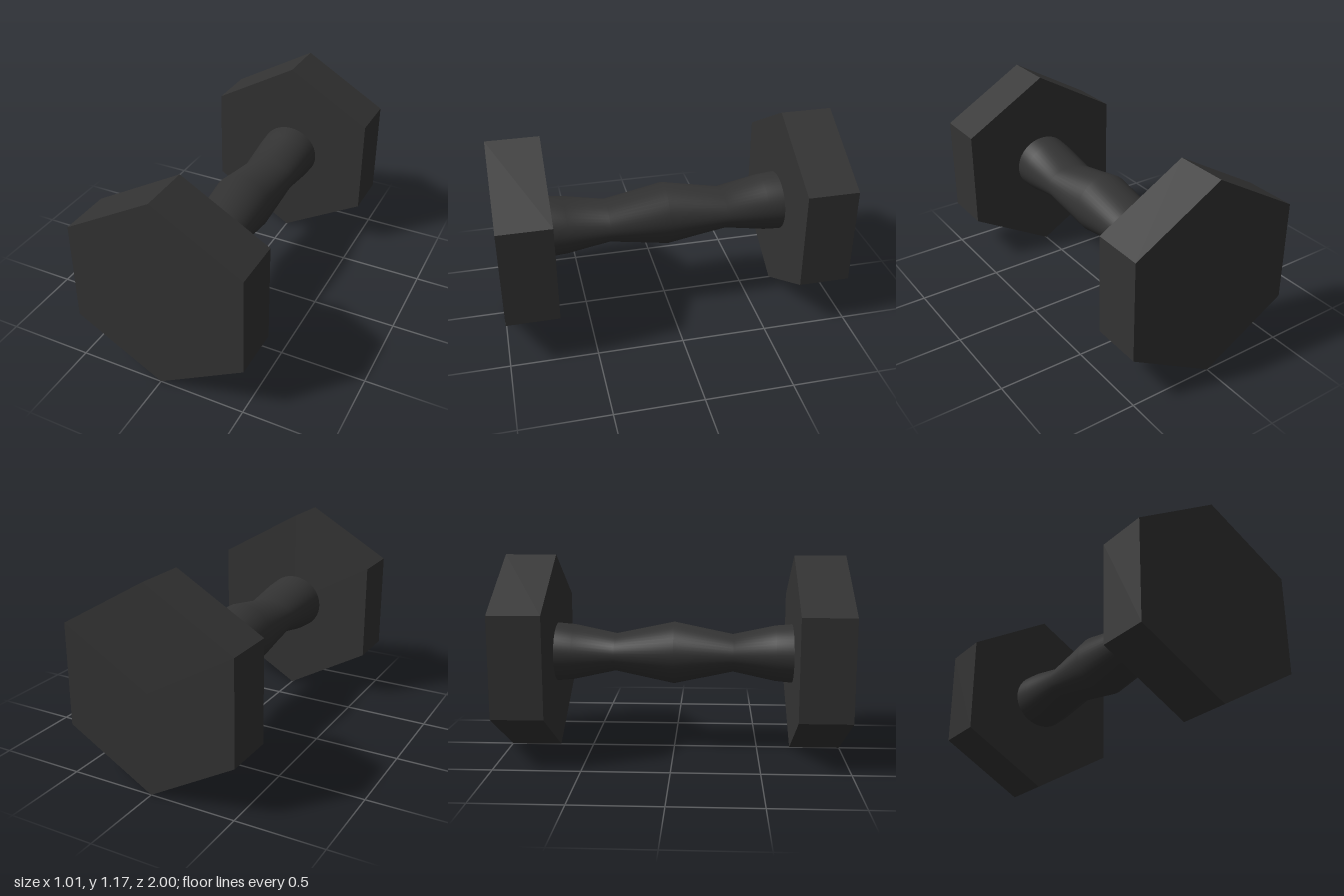
import * as THREE from 'three';
import { mergeVertices } from 'three/addons/utils/BufferGeometryUtils.js';

const CENTER_Y = 0.583; // hexagon circumradius, so a corner rests on the floor

// Handle sections: z, left and right extents, vertical radius
const SECTIONS = [
  [0, -0.186, 0.185, 0.185],
  [0.35, -0.16, 0.174, 0.11],
  [0.6, -0.179, 0.184, 0.165],
  [0.72, -0.186, 0.186, 0.176],
];

function handleGeometry() {
  const rings = [...SECTIONS.slice(1).reverse().map(([z, ...r]) => [-z, ...r]), ...SECTIONS];
  const sides = 48;
  const geo = new THREE.CylinderGeometry(1, 1, 1, sides, rings.length - 1, true);
  geo.rotateX(Math.PI / 2);
  const pos = geo.attributes.position;
  // Move each ring of the unit tube to its own oval section
  for (let i = 0; i < pos.count; i++) {
    const row = Math.floor(i / (sides + 1));
    const [z, left, right, ry] = rings[rings.length - 1 - row];
    const cx = (left + right) / 2, rx = (right - left) / 2;
    pos.setXYZ(i, cx + pos.getX(i) * rx, pos.getY(i) * ry, z);
  }
  // Weld the seam for smooth shading all round
  geo.deleteAttribute('uv');
  geo.deleteAttribute('normal');
  const welded = mergeVertices(geo);
  welded.computeVertexNormals();
  return welded;
}

export function createModel() {
  const model = new THREE.Group();
  model.name = 'dumbbell';
  const rubber = new THREE.MeshStandardMaterial({ color: 0x333333 });
  rubber.name = 'black rubber';

  // Contoured grip
  const handle = new THREE.Mesh(handleGeometry(), rubber);
  handle.name = 'handle';
  handle.position.y = CENTER_Y;
  model.add(handle);

  // Hexagonal weights, one corner up
  const hex = new THREE.CylinderGeometry(CENTER_Y, CENTER_Y, 0.3, 6).toNonIndexed();
  hex.computeVertexNormals();
  hex.rotateX(Math.PI / 2);
  for (const [name, side] of [['frontWeight', 1], ['backWeight', -1]]) {
    const weight = new THREE.Mesh(hex, rubber);
    weight.name = name;
    weight.position.set(0, CENTER_Y, side * 0.85);
    model.add(weight);
  }
  return model;
}
